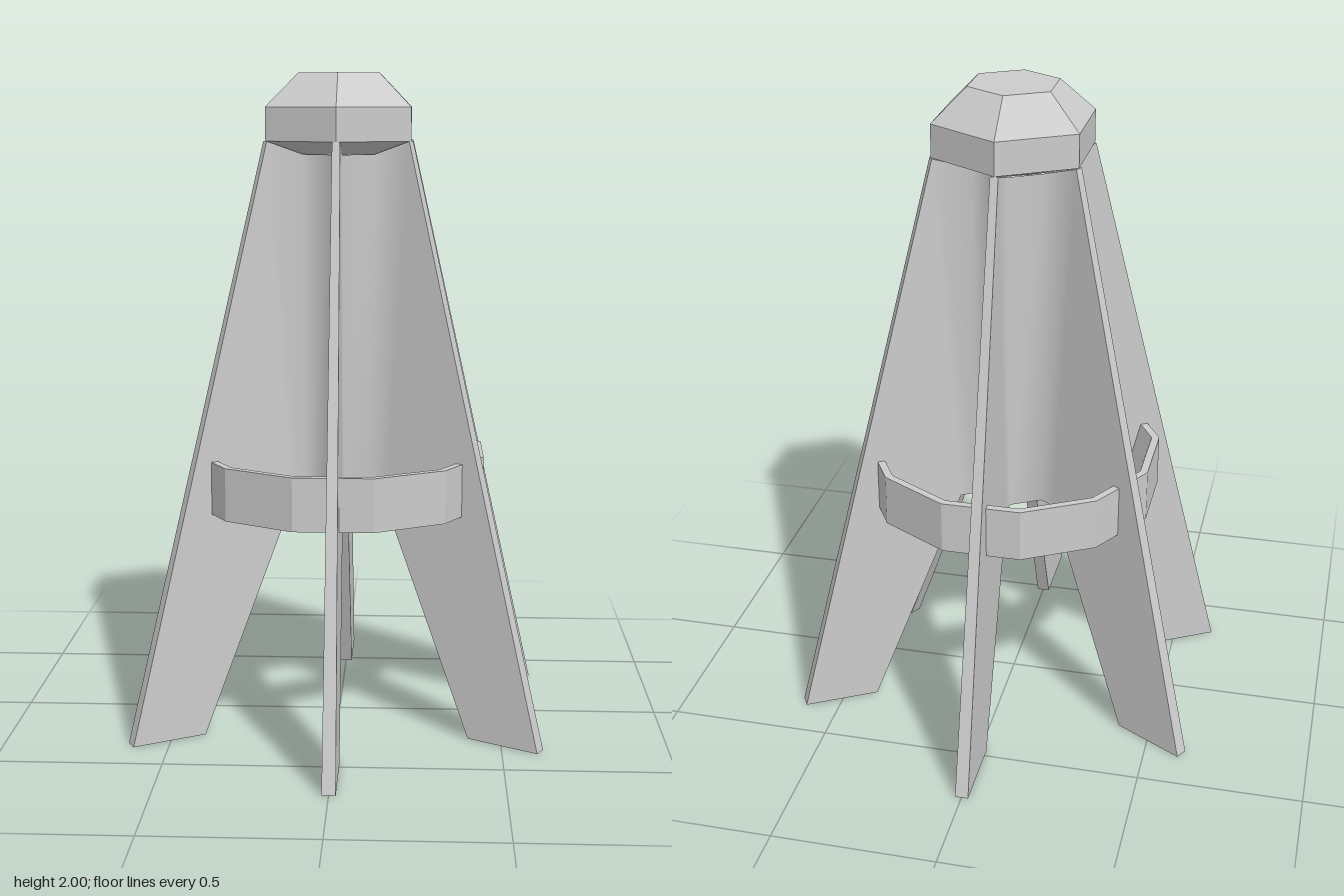
import * as THREE from 'three';
import { mergeGeometries, toCreasedNormals } from 'three/addons/utils/BufferGeometryUtils.js';

const SIDES = 6;
const STEP = (Math.PI * 2) / SIDES;
const CORE_R = 0.13, CORE_LOW = 0.69, CORE_TOP = 1.76;

// half thickness of a fin, thinning toward the top
const halfThick = (y) => 0.02 - 0.0045 * y;

// one upright fin reaching out along +x
function finGeometry() {
  const outline = new THREE.Shape([
    [CORE_R, CORE_LOW], [0.18, CORE_LOW], [0.475, 0],
    [0.71, 0], [0.25, 1.8], [CORE_R, CORE_TOP],
  ].map(([r, y]) => new THREE.Vector2(r, y)));
  const geo = new THREE.ExtrudeGeometry(outline, { depth: 1, bevelEnabled: false });
  const pos = geo.attributes.position;
  for (let i = 0; i < pos.count; i++) {
    pos.setZ(i, (pos.getZ(i) - 0.5) * 2 * halfThick(pos.getY(i)));
  }
  geo.deleteAttribute('uv');
  geo.deleteAttribute('normal');
  return geo;
}

// core wall between two neighbouring fins, with its slice of the floor
function coreGeometry() {
  const corner = (angle, side, y) =>
    new THREE.Vector3(CORE_R, y, side * halfThick(y)).applyAxisAngle(new THREE.Vector3(0, 1, 0), angle);
  const p0 = corner(0, -1, CORE_LOW), p1 = corner(0, -1, CORE_TOP);
  const q0 = corner(STEP, 1, CORE_LOW), q1 = corner(STEP, 1, CORE_TOP);
  const r0 = corner(0, 1, CORE_LOW), mid = new THREE.Vector3(0, CORE_LOW, 0);
  return new THREE.BufferGeometry().setFromPoints([
    p0, q0, q1, p0, q1, p1, mid, q0, p0, mid, p0, r0,
  ]);
}

// faceted ring-shaped solid from a profile of [radius, height]
function faceted(profile, sides, start) {
  const points = profile.map(([r, y]) => new THREE.Vector2(r, y));
  const geo = new THREE.LatheGeometry(points, sides, start).toNonIndexed();
  geo.computeVertexNormals();
  return geo;
}

export function createModel() {
  const group = new THREE.Group();
  const material = new THREE.MeshStandardMaterial({ color: 0xcccccc });
  const add = (name, geo) => {
    const mesh = new THREE.Mesh(geo, material);
    mesh.name = name;
    group.add(mesh);
  };

  // six fins blending softly into the core
  const pieces = [];
  for (let k = 0; k < SIDES; k++) {
    const angle = Math.PI / 6 + k * STEP;
    pieces.push(finGeometry().rotateY(angle), coreGeometry().rotateY(angle));
  }
  add('finsAndCore', toCreasedNormals(mergeGeometries(pieces), THREE.MathUtils.degToRad(65)));

  // six-sided cap with a shallow tapered underside
  add('cap', faceted([
    [0, CORE_TOP], [CORE_R, CORE_TOP], [0.25, 1.8], [0.25, 1.9], [0.14, 2], [0, 2],
  ], SIDES, 0));

  // twelve-sided brace ring, wider at its foot
  const toCorner = 1 / Math.cos(Math.PI / 12);
  add('braceRing', faceted([
    [0.375, 0.69], [0.443, 0.69], [0.443, 0.85], [0.42, 0.85], [0.375, 0.69],
  ].map(([r, y]) => [r * toCorner, y]), 12, Math.PI / 12));

  return group;
}
